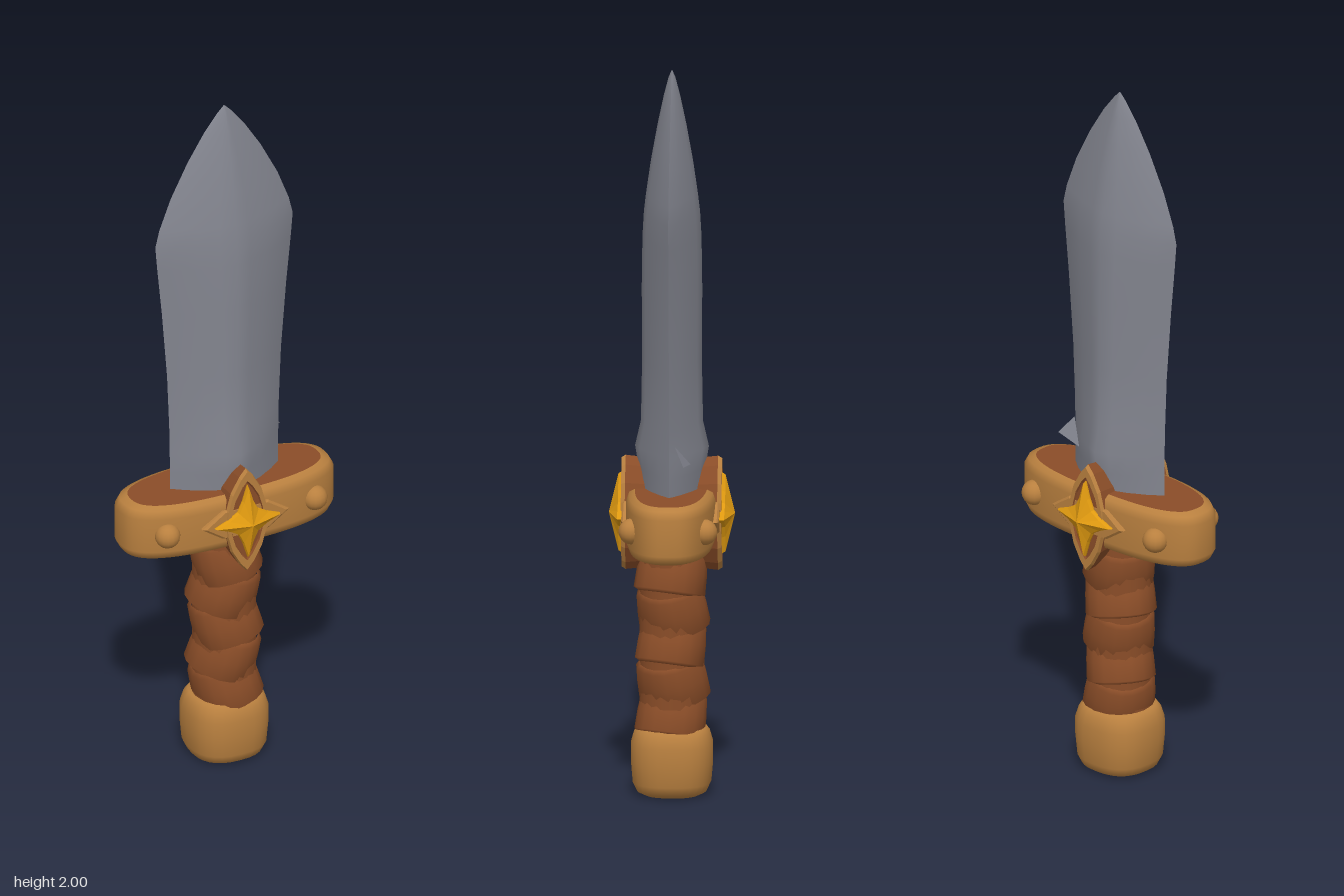
import * as THREE from 'three';

const material = (name, color, extra = {}) => {
  const m = new THREE.MeshStandardMaterial({ color, ...extra });
  m.name = name;
  return m;
};

// Skin a stack of equal-length rings of [x, y, z] points.
function loft(rings, closed = true) {
  const n = rings[0].length, pos = rings.flat(2), index = [];
  for (let i = 0; i < rings.length - 1; i++) {
    for (let j = 0; j < (closed ? n : n - 1); j++) {
      const k = (j + 1) % n;
      const a = i * n + j, b = i * n + k, c = a + n, d = b + n;
      index.push(a, c, b, b, c, d);
    }
  }
  const g = new THREE.BufferGeometry();
  g.setAttribute('position', new THREE.Float32BufferAttribute(pos, 3));
  g.setIndex(index);
  g.computeVertexNormals();
  return g;
}

// Rounded, slightly squared ring lying at height y.
function ring(a, b, y, power = 2, sides = 40) {
  const soft = (v) => Math.sign(v) * Math.abs(v) ** (2 / power);
  return Array.from({ length: sides }, (_, i) => {
    const t = (i / sides) * Math.PI * 2;
    return [a * soft(Math.cos(t)), y, b * soft(Math.sin(t))];
  });
}

// Mirror a quarter outline (from +x tip to +z tip) into a whole one.
function mirrorOutline(quarter) {
  const half = [...quarter, ...quarter.slice(0, -1).reverse().map(([x, z]) => [-x, z])];
  return [...half, ...half.slice(1, -1).reverse().map(([x, z]) => [x, -z])];
}

// Raised plate facing +z; levels are [scale, z].
function plate(quarter, levels) {
  const outline = mirrorOutline(quarter);
  const g = loft(levels.map(([s, h]) => outline.map(([x, z]) => [x * s, h, z * s])));
  return g.rotateX(Math.PI / 2).toNonIndexed();
}

export function createModel() {
  const steel = material('steel', 0x83858f);
  const steelSpur = material('steel spur', 0x83858f, { side: THREE.DoubleSide });
  const tan = material('tan leather', 0xb9803f);
  const brown = material('brown leather', 0x8a4d28);
  const gold = material('gold', 0xe09a10);

  const model = new THREE.Group();
  const add = (name, geometry, mat, parent = model) => {
    const mesh = new THREE.Mesh(geometry, mat);
    mesh.name = name;
    parent.add(mesh);
    return mesh;
  };

  // Blade: two lofted halves meeting at sharp edges; rows are [y, half width, half depth]
  const bladeRows = [
    [0.8, 0.165, 0.085], [0.9, 0.165, 0.09], [0.96, 0.166, 0.1], [1.03, 0.167, 0.084],
    [1.2, 0.174, 0.081], [1.4, 0.19, 0.082], [1.54, 0.204, 0.08], [1.61, 0.21, 0.076],
    [1.66, 0.198, 0.07], [1.75, 0.163, 0.057], [1.85, 0.111, 0.039], [1.93, 0.06, 0.022],
    [1.98, 0.02, 0.009], [2.0, 0, 0],
  ];
  const section = [[1, 0], [0.78, 0.32], [0.5, 0.63], [0.22, 0.86], [0, 1],
    [-0.22, 0.86], [-0.5, 0.63], [-0.78, 0.32], [-1, 0]];
  const bladeHalf = loft(bladeRows.map(([y, w, d]) => section.map(([x, z]) => [x * w, y, z * d])), false);
  add('bladeFront', bladeHalf, steel);
  add('bladeBack', bladeHalf, steel).rotation.y = Math.PI;

  // Small nick sticking out of the blade edge
  const spur = new THREE.BufferGeometry().setFromPoints([
    [0.1, 0.93, -0.055], [0.192, 0.94, -0.04], [0.155, 0.99, -0.015],
  ].map((p) => new THREE.Vector3(...p)));
  spur.computeVertexNormals();
  add('bladeNick', spur, steelSpur);

  // Crossguard: soft band with dark top and bottom faces
  const guard = new THREE.Group();
  guard.name = 'crossguard';
  model.add(guard);
  const guardRing = (inset, y) => ring(0.32 - inset, 0.122 - inset * 0.7, y, 2.6, 56);
  add('guardBand', loft([[0.035, 0.69], [0.012, 0.697], [0, 0.72], [0, 0.82], [0.012, 0.842], [0.035, 0.85]]
    .map(([i, y]) => guardRing(i, y))), tan, guard);
  add('guardTop', loft([guardRing(0.035, 0.85), ring(0, 0, 0.85, 2, 56)]), brown, guard);
  add('guardBottom', loft([ring(0, 0, 0.69, 2, 56), guardRing(0.035, 0.69)]), brown, guard);

  // Ornament and rivets, repeated on front and back
  const leaf = [[0.064, 0], [0.06, 0.04], [0.046, 0.09], [0.02, 0.135], [0, 0.158]];
  const arms = [[0.132, 0], [0.1, 0.022], [0.07, 0.042], [0, 0.045]];
  const star = [[0.1, 0], [0.06, 0.016], [0.03, 0.034], [0.015, 0.065], [0, 0.112]];
  const facing = (g) => { g.computeVertexNormals(); return g; };
  const leafSide = facing(plate(leaf, [[0, 0.055], [0.95, 0.055], [1, 0.125]]));
  const leafRim = facing(plate(leaf, [[1, 0.125], [0.96, 0.136], [0.78, 0.136]]));
  const leafInset = facing(plate(leaf, [[0.78, 0.136], [0.74, 0.131], [0, 0.131]]));
  const armPlate = facing(plate(arms, [[1, 0.1], [1, 0.127], [0.92, 0.132], [0, 0.132]]));
  const starPlate = facing(plate(star, [[0.95, 0.125], [1, 0.136], [0.95, 0.145], [0, 0.171]]));
  const rivet = new THREE.SphereGeometry(0.035, 16, 10);
  for (const side of [0, 1]) {
    const face = new THREE.Group();
    face.name = side ? 'backOrnament' : 'frontOrnament';
    face.rotation.y = side * Math.PI;
    model.add(face);
    const badge = new THREE.Group();
    badge.name = 'badge';
    badge.position.y = 0.775;
    face.add(badge);
    add('leafSide', leafSide, brown, badge);
    add('leafRim', leafRim, tan, badge);
    add('leafInset', leafInset, brown, badge);
    add('sideArms', armPlate, tan, badge);
    add('goldStar', starPlate, gold, badge);
    for (const s of [-1, 1]) add('rivet', rivet, tan, face).position.set(s * 0.225, 0.77, 0.099);
  }

  // Grip: core with overlapping, alternately tilted wraps
  add('gripCore', new THREE.CylinderGeometry(0.088, 0.088, 0.56, 20).translate(0, 0.43, 0), brown);
  const wrap = loft([[0.08, -0.062], [0.094, -0.054], [0.092, 0], [0.087, 0.05], [0.075, 0.06]]
    .map(([r, y]) => ring(r, r + 0.002, y, 2.2, 16)));
  for (let i = 0; i < 5; i++) {
    const band = add('gripWrap', wrap, brown);
    band.position.y = 0.22 + i * 0.098;
    band.rotation.set(i % 2 ? 0.15 : -0.12, i * 0.7, i % 2 ? -0.24 : 0.24, 'ZXY');
  }

  // Pommel: rounded cap with a dark underside
  const pommelRing = (r, y) => ring(r, r * 0.97, y, 2.5, 28);
  add('pommel', loft([[0.078, 0], [0.098, 0.01], [0.11, 0.035], [0.115, 0.09], [0.115, 0.14], [0.106, 0.17],
    [0.094, 0.186], [0.07, 0.188]].map(([r, y]) => pommelRing(r, y))), tan);
  add('pommelBase', loft([pommelRing(0, 0), pommelRing(0.078, 0)]), brown);

  return model;
}
